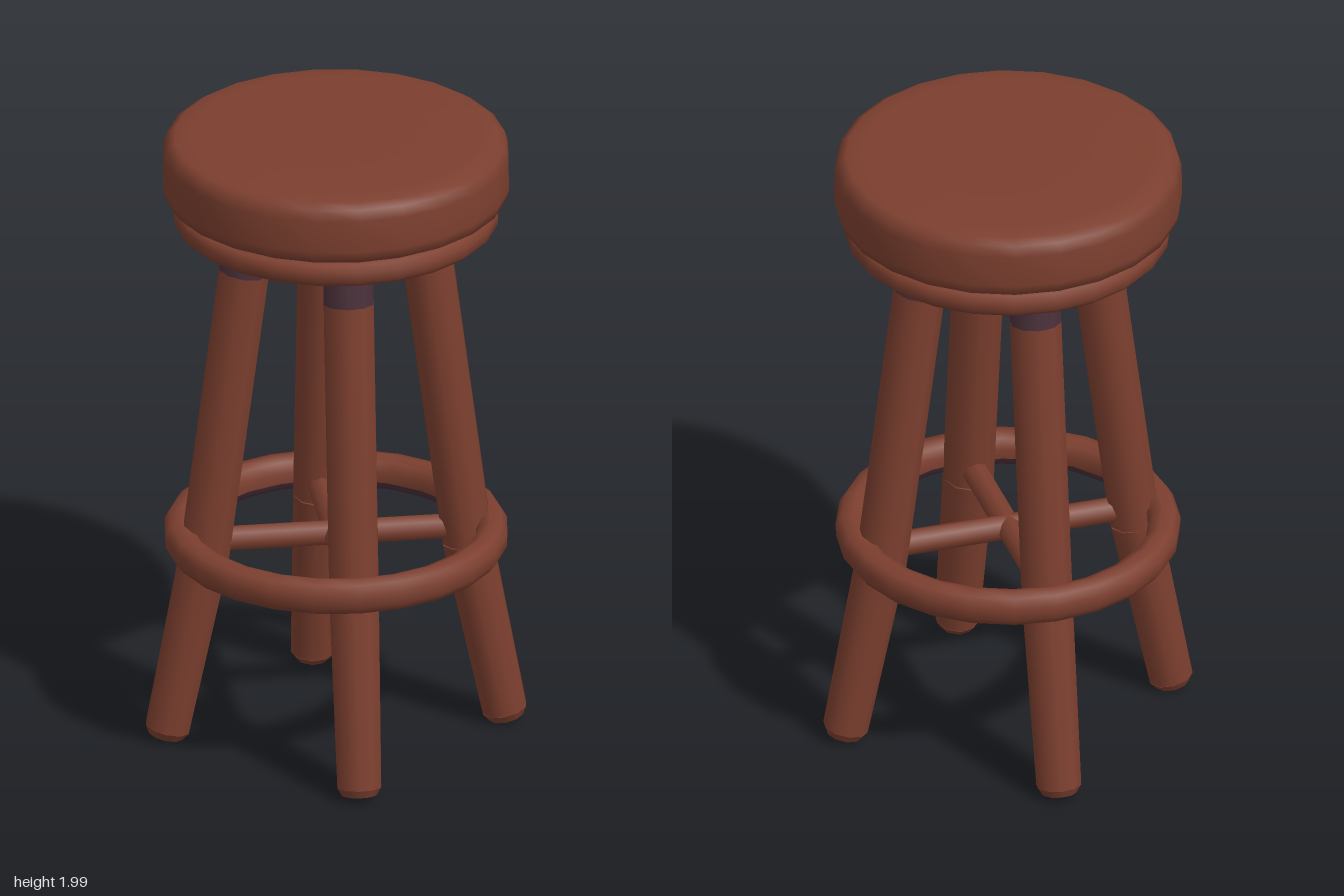
import * as THREE from 'three';

const wood = new THREE.MeshStandardMaterial({ color: 0x7c3f2f });
wood.name = 'reddish brown wood';
const dark = new THREE.MeshStandardMaterial({ color: 0x4a303a });
dark.name = 'dark plum wood';

function add(parent, name, geometry, material) {
  const mesh = new THREE.Mesh(geometry, material);
  mesh.name = name;
  parent.add(mesh);
  return mesh;
}

// Turned part from [radius, height] pairs, listed upwards on the outside
function turned(parent, name, profile, material, sides = 24) {
  const points = profile.map(([r, y]) => new THREE.Vector2(r, y));
  return add(parent, name, new THREE.LatheGeometry(points, sides), material);
}

// Round bar from a lower point to an upper point
function rod(parent, name, a, b, ra, rb, material, sides = 10) {
  const dir = b.clone().sub(a);
  const geometry = new THREE.CylinderGeometry(rb, ra, dir.length(), sides);
  const mesh = add(parent, name, geometry, material);
  mesh.position.copy(a).add(b).multiplyScalar(0.5);
  mesh.quaternion.setFromUnitVectors(new THREE.Vector3(0, 1, 0), dir.normalize());
  return mesh;
}

export function createModel() {
  const stool = new THREE.Group();
  stool.name = 'stool';

  // Cushion-shaped seat
  turned(stool, 'seat', [
    [0.495, 1.79], [0.522, 1.805], [0.532, 1.84], [0.53, 1.94],
    [0.52, 1.975], [0.495, 1.992], [0.44, 1.998], [0.25, 2], [0, 2],
  ], wood);
  turned(stool, 'seatUnderside', [[0, 1.765], [0.45, 1.765], [0.46, 1.79], [0.495, 1.79]], dark);

  // Rim under the seat, dark on its inside
  turned(stool, 'seatRim', [
    [0.43, 1.715], [0.455, 1.702], [0.48, 1.705], [0.498, 1.725],
    [0.498, 1.755], [0.485, 1.775], [0.45, 1.782],
  ], wood);
  turned(stool, 'seatRimInside', [[0.435, 1.77], [0.425, 1.74], [0.43, 1.715]], dark);

  // Foot ring, dark along its lower inner edge
  turned(stool, 'footRing', [
    [0.47, 0.612], [0.505, 0.618], [0.525, 0.645], [0.527, 0.685], [0.51, 0.713],
    [0.475, 0.722], [0.445, 0.71], [0.43, 0.68], [0.433, 0.645],
  ], wood);
  turned(stool, 'footRingUnderside', [[0.433, 0.645], [0.445, 0.62], [0.47, 0.612]], dark);

  // Four splayed legs, bending outwards slightly below the foot ring
  const at = (d, y, sx, sz) => new THREE.Vector3(d * sx, y, d * sz);
  for (const sx of [-1, 1]) {
    for (const sz of [-1, 1]) {
      const leg = new THREE.Group();
      leg.name = (sz > 0 ? 'front' : 'back') + (sx > 0 ? 'Left' : 'Right') + 'Leg';
      stool.add(leg);
      const sole = at(0.371, 0.02, sx, sz);
      const ankle = at(0.367, 0.045, sx, sz);
      const knee = at(0.286, 0.62, sx, sz);
      const collar = at(0.2, 1.56, sx, sz);
      const top = at(0.18, 1.775, sx, sz);
      rod(leg, 'foot', sole, ankle, 0.055, 0.07, [wood, wood, dark]);
      rod(leg, 'lowerLeg', ankle, knee, 0.07, 0.079, wood);
      rod(leg, 'upperLeg', knee, collar, 0.079, 0.08, wood);
      rod(leg, 'legTop', collar, top, 0.08, 0.08, dark);
    }
  }

  // Crossed stretchers joining opposite legs
  for (const s of [-1, 1]) {
    rod(stool, 'stretcher', at(-0.28, 0.665, 1, s), at(0.28, 0.665, 1, s), 0.04, 0.04, wood, 8);
  }
  return stool;
}
